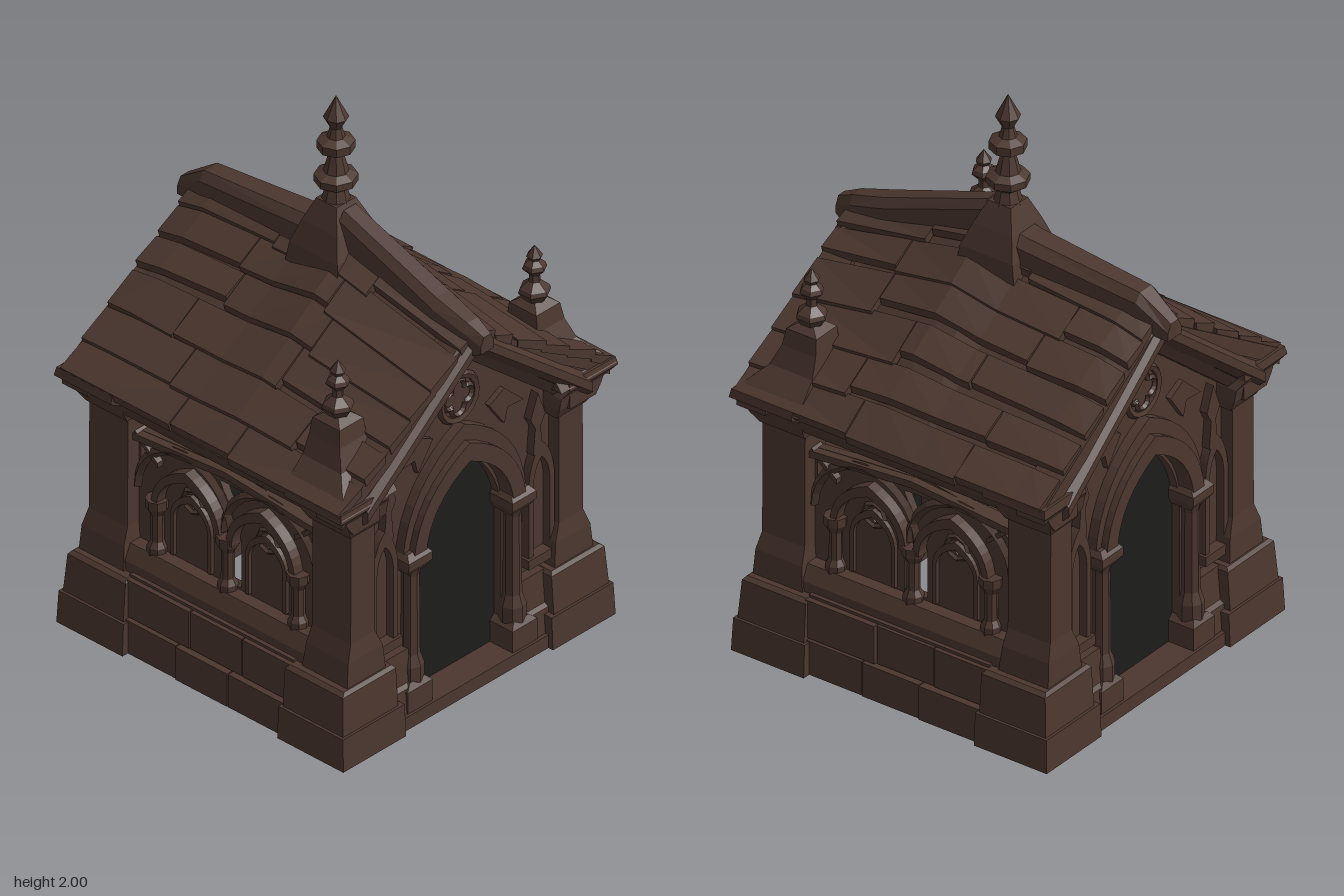
import * as THREE from 'three';

const stone = new THREE.MeshStandardMaterial({ color: 0x4c372f });
stone.name = 'brown stone';
const dark = new THREE.MeshStandardMaterial({ color: 0x1d1d1c, side: THREE.DoubleSide });
dark.name = 'dark doorway';

let seed = 7;
const rnd = (a) => { seed = (seed * 16807) % 2147483647; return (seed / 2147483647 * 2 - 1) * a; };

function add(parent, name, geo, mat = stone) {
  const g = geo.index ? geo.toNonIndexed() : geo;
  g.computeVertexNormals(); // faceted, hand-cut look
  const m = new THREE.Mesh(g, mat);
  m.name = name;
  parent.add(m);
}

// Closed solid through a list of rings of [x, y, z] points, wound outwards.
function loft(rings) {
  const tris = [], n = rings[0].length;
  for (let i = 0; i + 1 < rings.length; i++) for (let j = 0; j < n; j++) {
    const k = (j + 1) % n, a = rings[i], b = rings[i + 1];
    tris.push([a[j], a[k], b[k]], [a[j], b[k], b[j]]);
  }
  const first = rings[0], last = rings[rings.length - 1];
  for (let j = 1; j + 1 < n; j++) tris.push([first[0], first[j + 1], first[j]], [last[0], last[j], last[j + 1]]);
  const v = (p) => new THREE.Vector3(...p);
  let volume = 0;
  for (const [a, b, c] of tris) volume += v(a).dot(v(b).cross(v(c)));
  const pos = tris.flatMap(([a, b, c]) => (volume > 0 ? [a, b, c] : [a, c, b]).flat());
  const g = new THREE.BufferGeometry();
  g.setAttribute('position', new THREE.Float32BufferAttribute(pos, 3));
  return g;
}
// Stack of rectangles [x0, x1, z0, z1, y], mirrored by sx and sz.
const stack = (rows, sx = 1, sz = 1) => loft(rows.map(([x0, x1, z0, z1, y]) =>
  [[x0, z0], [x1, z0], [x1, z1], [x0, z1]].map(([x, z]) => [x * sx, y, z * sz])));
const box = (x0, x1, y0, y1, z0, z1) => stack([[x0, x1, z0, z1, y0], [x0, x1, z0, z1, y1]]);
const lathe = (pts, sides, x = 0, y = 0, z = 0) =>
  new THREE.LatheGeometry(pts.map(([r, h]) => new THREE.Vector2(r, h)), sides).translate(x, y, z);

// Pointed arch outline
function arch(cx, hw, y0, ys, peak, Type = THREE.Shape) {
  const s = new Type(), cy = ys + (peak - ys) * 0.68;
  s.moveTo(cx - hw, y0);
  s.lineTo(cx + hw, y0);
  s.lineTo(cx + hw, ys);
  s.quadraticCurveTo(cx + hw * 0.92, cy, cx, peak);
  s.quadraticCurveTo(cx - hw * 0.92, cy, cx - hw, ys);
  s.closePath();
  return s;
}
const poly = (pts, Type = THREE.Shape) => new Type(pts.map(([x, y]) => new THREE.Vector2(x, y)));
const extrude = (shape, z0, z1) =>
  new THREE.ExtrudeGeometry(shape, { depth: z1 - z0, bevelEnabled: false, curveSegments: 8 }).translate(0, 0, z0);
// Arch band, open at the foot
function archBand(cx, hw, w, y0, ys, peak, top, z0, z1) {
  const s = new THREE.Shape(), o = hw + w, ci = ys + (peak - ys) * 0.68, co = ys + (top - ys) * 0.68;
  s.moveTo(cx + hw, y0);
  s.lineTo(cx + o, y0);
  s.lineTo(cx + o, ys);
  s.quadraticCurveTo(cx + o * 0.92, co, cx, top);
  s.quadraticCurveTo(cx - o * 0.92, co, cx - o, ys);
  s.lineTo(cx - o, y0);
  s.lineTo(cx - hw, y0);
  s.lineTo(cx - hw, ys);
  s.quadraticCurveTo(cx - hw * 0.92, ci, cx, peak);
  s.quadraticCurveTo(cx + hw * 0.92, ci, cx + hw, ys);
  s.closePath();
  return extrude(s, z0, z1);
}

// Gabled end wall facing +z
function makeGable() {
  const g = new THREE.Group();
  const wall = poly([[-0.45, 0.03], [0.45, 0.03], [0.45, 0.9], [0.5, 0.92], [0, 1.3], [-0.5, 0.92], [-0.45, 0.9]]);
  wall.holes.push(arch(0, 0.205, 0.05, 0.56, 0.87, THREE.Path));
  add(g, 'gableWall', extrude(wall, 0.47, 0.53));
  add(g, 'doorway', new THREE.ShapeGeometry(arch(0, 0.21, 0.04, 0.57, 0.88)).translate(0, 0, 0.5), dark);
  add(g, 'threshold', box(-0.34, 0.34, 0, 0.05, 0.47, 0.61));
  add(g, 'doorArch', archBand(0, 0.203, 0.057, 0.6, 0.61, 0.87, 0.94, 0.52, 0.59));
  add(g, 'doorHood', archBand(0, 0.25, 0.035, 0.6, 0.62, 0.93, 1.0, 0.52, 0.565));

  // Round quatrefoil medallion
  add(g, 'medallionRing', new THREE.TorusGeometry(0.083, 0.014, 5, 16).translate(0, 1.09, 0.535));
  for (let i = 0; i < 4; i++) {
    const a = i * Math.PI / 2;
    add(g, 'medallionLobe', new THREE.TorusGeometry(0.03, 0.01, 4, 8, Math.PI * 1.25).rotateZ(a - Math.PI * 0.625)
      .translate(Math.cos(a) * 0.036, 1.09 + Math.sin(a) * 0.036, 0.535));
  }

  for (const s of [-1, 1]) {
    // Door columns
    add(g, 'columnBase', stack([[0.185, 0.3, 0.5, 0.6, 0.04], [0.185, 0.3, 0.5, 0.6, 0.13], [0.205, 0.275, 0.5, 0.585, 0.15]], s));
    add(g, 'column', lathe([[0.045, 0.14], [0.045, 0.2], [0.032, 0.24], [0.03, 0.54], [0.04, 0.58]], 8, s * 0.236, 0, 0.55));
    add(g, 'capital', stack([[0.2, 0.275, 0.5, 0.58, 0.56], [0.185, 0.295, 0.5, 0.6, 0.59], [0.185, 0.295, 0.5, 0.6, 0.62], [0.2, 0.28, 0.5, 0.58, 0.64]], s));
    // Wall footings and narrow blind niches
    add(g, 'footing', stack([[0.27, 0.4, 0.48, 0.6, 0], [0.27, 0.4, 0.48, 0.59, 0.14], [0.26, 0.4, 0.48, 0.575, 0.15], [0.26, 0.4, 0.48, 0.565, 0.27]], s));
    add(g, 'niche', archBand(s * 0.362, 0.038, 0.022, 0.33, 0.6, 0.7, 0.76, 0.52, 0.56));
    add(g, 'nicheSill', box(s * 0.362 - 0.07, s * 0.362 + 0.07, 0.3, 0.335, 0.5, 0.57));
    add(g, 'nicheFinial', extrude(poly([[-0.022, 0.72], [0.022, 0.72], [0.012, 0.82], [0.034, 0.86], [0, 0.95], [-0.034, 0.86], [-0.012, 0.82]]), 0.52, 0.56).translate(s * 0.345, 0, 0));
    add(g, 'carvedLeaf', extrude(poly([[0.13, 1.0], [0.2, 0.9], [0.215, 0.955], [0.29, 0.95], [0.2, 1.035], [0.17, 1.02]].map(([x, y]) => [s * x, y])), 0.52, 0.55));
    // Steep coping: chamfered bar over a stepped moulding, dying into the corner blocks
    const rake = (profile, x, yLow, yTop) => loft([[x, yLow], [0, yTop]].map(([px, py]) =>
      profile.map(([z, drop]) => [s * px, py - drop, z])));
    add(g, 'coping', rake([[0.5, 0], [0.6, -0.01], [0.635, 0.025], [0.635, 0.06], [0.6, 0.09], [0.5, 0.09]], 0.52, 0.965, 1.385));
    add(g, 'copingMoulding', rake([[0.5, 0], [0.6, 0], [0.575, 0.045], [0.5, 0.045]], 0.46, 0.92, 1.3));
    // Filling between the coping and the shallower roof edge
    add(g, 'roofEdge', rake([[0.5, 0], [0.615, 0], [0.615, 0.06], [0.5, 0.06]], 0.62, 0.975, 1.375));
  }
  return g;
}

// Side wall with pierced tracery, drawn facing +z and turned to face +x
function makeSide() {
  const g = new THREE.Group();
  const cuts = [-0.36, -0.13, 0.1, 0.36];
  add(g, 'wallCore', box(-0.36, 0.36, 0.01, 0.28, 0.48, 0.575));
  for (let i = 0; i < 3; i++) {
    add(g, 'lowerStone', box(cuts[i] + 0.004, cuts[i + 1], 0, 0.125, 0.5, 0.607 + rnd(0.006)));
    const shift = i ? 0.05 : 0;
    add(g, 'upperStone', box(cuts[i] + shift, cuts[i + 1] + 0.045, 0.13, 0.27, 0.5, 0.59 + rnd(0.006)));
  }
  add(g, 'sill', loft([-0.42, 0.42].map((x) => [[x, 0.27, 0.45], [x, 0.27, 0.56], [x, 0.31, 0.56], [x, 0.36, 0.53], [x, 0.36, 0.45]])));
  const panel = poly([[-0.42, 0.35], [0.42, 0.35], [0.42, 0.77], [0.2, 0.785], [0.05, 0.81], [-0.2, 0.79], [-0.42, 0.77]]);
  panel.holes.push(poly([[-0.045, 0.37], [0.045, 0.37], [0.045, 0.55], [-0.045, 0.55]], THREE.Path));
  panel.holes.push(poly([[0, 0.64], [0.05, 0.74], [-0.05, 0.74]], THREE.Path));
  for (const s of [-1, 1]) {
    panel.holes.push(poly([[s * 0.395, 0.65], [s * 0.395, 0.74], [s * 0.32, 0.755], [s * 0.36, 0.72]], THREE.Path));
    panel.holes.push(poly([[s * 0.165, 0.575], [s * 0.2, 0.615], [s * 0.165, 0.63], [s * 0.13, 0.615]], THREE.Path));
  }
  add(g, 'traceryPanel', extrude(panel, 0.455, 0.485));
  for (const s of [-1, 1]) {
    add(g, 'pointedArch', archBand(s * 0.165, 0.125, 0.025, 0.54, 0.56, 0.69, 0.73, 0.47, 0.525));
    add(g, 'innerLancet', archBand(s * 0.165, 0.075, 0.015, 0.37, 0.52, 0.6, 0.63, 0.47, 0.5));
    add(g, 'roundArch', new THREE.TorusGeometry(0.205, 0.017, 4, 14, Math.PI).translate(s * 0.19, 0.57, 0.5));
    add(g, 'trefoilRing', new THREE.TorusGeometry(0.042, 0.009, 4, 8).translate(s * 0.165, 0.605, 0.487));
    add(g, 'spandrelBar', loft([[0.3, 0.69], [0.4, 0.77]].map(([x, y]) =>
      [[s * x, y - 0.01, 0.46], [s * x, y - 0.01, 0.51], [s * x, y + 0.01, 0.51], [s * x, y + 0.01, 0.46]])));
  }
  for (const x of [-0.31, 0, 0.31]) {
    add(g, 'sideColumn', lathe([[0.035, 0.35], [0.035, 0.38], [0.023, 0.4], [0.022, 0.5], [0.04, 0.53], [0.04, 0.56], [0, 0.56]], 8, x, 0, 0.5));
  }
  add(g, 'traceryTopRail', loft([[-0.41, 0.77], [0, 0.805], [0.41, 0.77]].map(([x, y]) =>
    [[x, y - 0.025, 0.46], [x, y - 0.025, 0.515], [x, y, 0.515], [x, y, 0.46]])));
  add(g, 'eaveCornice', loft([-0.61, 0.61].map((x) =>
    [[x, 0.865, 0.44], [x, 0.865, 0.56], [x, 0.9, 0.585], [x, 0.93, 0.6], [x, 0.955, 0.625], [x, 0.96, 0.44]])));
  return g;
}

// Uneven ridge height along z
const knots = [[-0.63, 1.4], [-0.5, 1.435], [-0.1, 1.465], [0.08, 1.51], [0.63, 1.375]];
function apex(z) {
  for (let i = 0; i + 1 < knots.length; i++) {
    const [z0, a] = knots[i], [z1, b] = knots[i + 1];
    if (z <= z1) return a + (b - a) * (z - z0) / (z1 - z0);
  }
  return knots[4][1];
}
const roofY = (x, z) => apex(z) + (0.965 - apex(z)) * x / 0.64;

function makeRoof() {
  const g = new THREE.Group();
  const courses = [0.638, 0.53, 0.42, 0.3, 0.19, 0.09, 0];
  for (const s of [-1, 1]) {
    add(g, 'roofDeck', loft(knots.map(([z]) => [[0.59, 0], [0, 0], [0, 1], [0.59, 1]].map(([x, low]) =>
      [s * x, roofY(x, z) - 0.025 - low * 0.05, z * 0.97]))));
    // Overlapping rows of long slabs
    for (let c = 0; c < 6; c++) {
      const cut = [-0.61, -0.22 + rnd(0.14), 0.2 + rnd(0.14), 0.62];
      for (let i = 0; i < 3; i++) {
        const low = courses[c] + (c ? rnd(0.02) : rnd(0.006)), lift = 0.016 + rnd(0.007);
        const a = cut[i] + 0.002, b = cut[i + 1] - 0.002;
        const zs = [a, ...knots.map((k) => k[0]).filter((z) => z > a && z < b), b];
        const skew = rnd(0.01);
        add(g, 'roofSlab', loft(zs.map((z) => {
          const up = courses[c + 1], out = c ? low + skew * (z - a) / (b - a) : low;
          const yl = roofY(out, z) + lift, yu = roofY(up, z);
          return [[s * out, yl, z], [s * up, yu, z], [s * up, yu - 0.03, z], [s * (out - 0.01), yl - 0.032, z]];
        })));
      }
    }
  }
  // Ridge caps: [z, top, half width, depth]
  const cap = (rows) => loft(rows.map(([z, y, w, d]) =>
    [[-w, y - d, z], [w, y - d, z], [w, y - 0.03, z], [w * 0.55, y, z], [-w * 0.55, y, z], [-w, y - 0.03, z]]));
  add(g, 'frontRidge', cap([[0.665, 1.385, 0.03, 0.06], [0.6, 1.415, 0.045, 0.12], [0.47, 1.455, 0.055, 0.12], [0.06, 1.6, 0.05, 0.14]]));
  add(g, 'backRidge', cap([[-0.665, 1.395, 0.035, 0.06], [-0.55, 1.475, 0.055, 0.12], [-0.1, 1.52, 0.07, 0.12], [0, 1.54, 0.07, 0.12]]));
  // Tall central finial
  add(g, 'finialBase', stack([[-0.12, 0.115, -0.11, 0.12, 1.38], [-0.11, 0.11, -0.1, 0.11, 1.45], [-0.08, 0.08, -0.075, 0.08, 1.53], [-0.045, 0.045, -0.045, 0.045, 1.61]]));
  add(g, 'finial', lathe([[0.052, 1.59], [0.036, 1.65], [0.072, 1.675], [0.072, 1.7], [0.042, 1.715], [0.024, 1.78],
    [0.062, 1.8], [0.062, 1.83], [0.03, 1.845], [0.02, 1.88], [0.042, 1.92], [0, 2]], 8));
  return g;
}

export function createModel() {
  const model = new THREE.Group();
  model.name = 'stoneChapel';
  for (const turn of [0, 1]) {
    const gable = makeGable();
    gable.name = turn ? 'backGable' : 'frontGable';
    gable.rotation.y = turn * Math.PI;
    const side = makeSide();
    side.name = turn ? 'rightWall' : 'leftWall';
    side.rotation.y = Math.PI / 2 + turn * Math.PI;
    model.add(gable, side);
  }
  // Corner piers
  for (const sx of [-1, 1]) for (const sz of [-1, 1]) {
    add(model, 'pierFoot', stack([[0.34, 0.63, 0.34, 0.63, 0], [0.34, 0.625, 0.34, 0.625, 0.12]], sx, sz));
    add(model, 'pierPlinth', stack([[0.36, 0.615, 0.35, 0.615, 0.12], [0.36, 0.605, 0.35, 0.605, 0.26], [0.37, 0.59, 0.36, 0.595, 0.272]], sx, sz));
    add(model, 'pierShaft', stack([[0.39, 0.57, 0.39, 0.59, 0.26], [0.4, 0.56, 0.4, 0.585, 0.36], [0.425, 0.538, 0.405, 0.575, 0.42], [0.425, 0.535, 0.405, 0.575, 0.86]], sx, sz));
    add(model, 'pierCapital', stack([[0.41, 0.545, 0.4, 0.58, 0.83], [0.4, 0.57, 0.39, 0.6, 0.87], [0.4, 0.59, 0.38, 0.61, 0.92], [0.42, 0.642, 0.38, 0.63, 0.95], [0.42, 0.635, 0.38, 0.625, 0.98]], sx, sz));
    if (sz < 0) continue;
    // Front pinnacles
    add(model, 'pinnacleBase', stack([[0.38, 0.635, 0.36, 0.63, 0.96], [0.38, 0.6, 0.365, 0.6, 1.0], [0.385, 0.545, 0.37, 0.54, 1.06],
      [0.395, 0.52, 0.375, 0.51, 1.13], [0.4, 0.51, 0.38, 0.5, 1.19], [0.425, 0.485, 0.41, 0.47, 1.21]], sx));
    add(model, 'pinnacle', lathe([[0.032, 1.2], [0.055, 1.235], [0.05, 1.25], [0.02, 1.275], [0.018, 1.3], [0.042, 1.325], [0.036, 1.34], [0.018, 1.355], [0.028, 1.37], [0, 1.41]], 6, sx * 0.455, 0, 0.44));
  }
  const roof = makeRoof();
  roof.name = 'roof';
  model.add(roof);
  return model;
}
